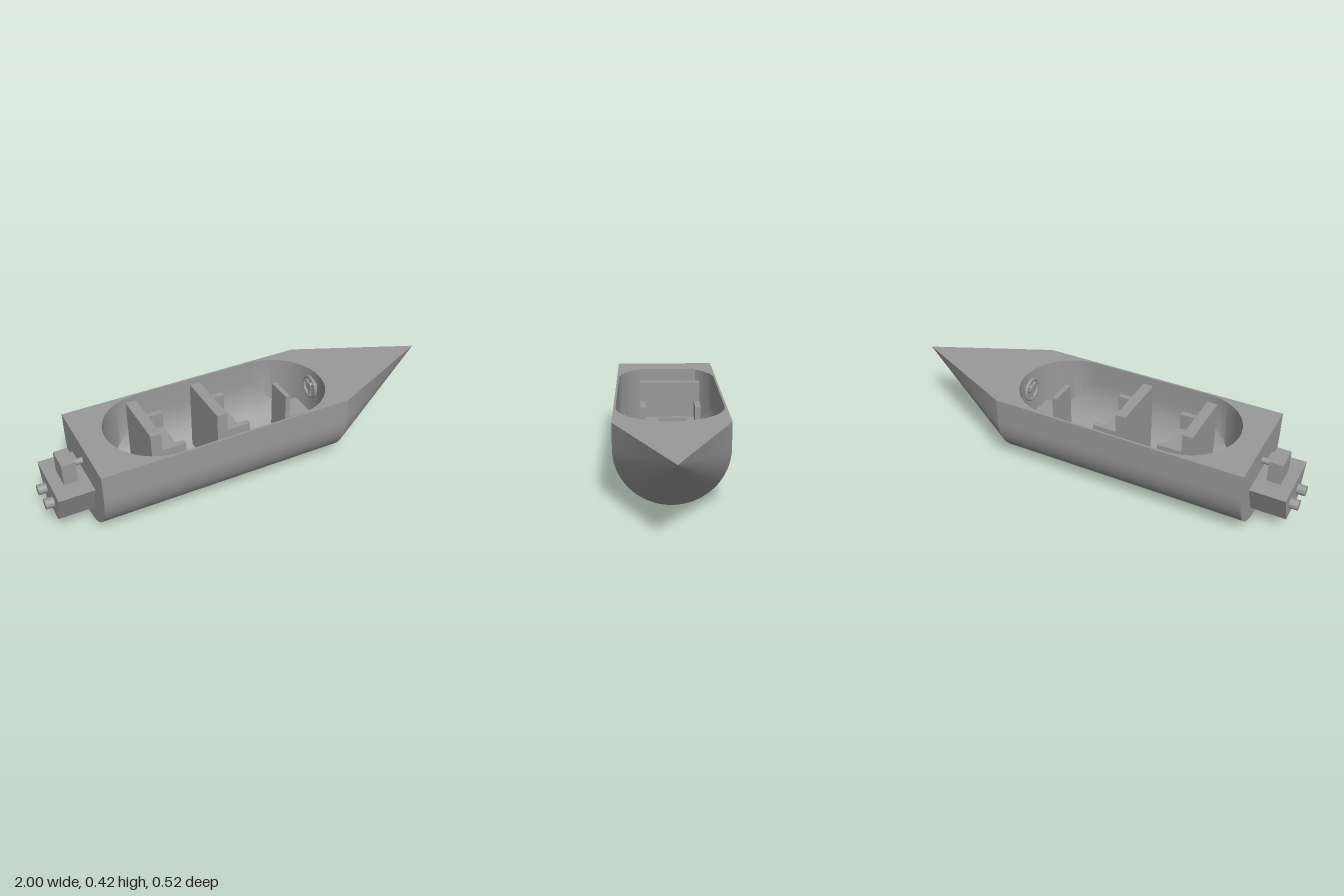
import * as THREE from 'three';
import { toCreasedNormals } from 'three/addons/utils/BufferGeometryUtils.js';

const DECK = 0.38, HALF = 0.26, STERN = -0.795, SHOULDER = 0.43;
const WELL = { aft: -0.68, fore: 0.42, r: 0.25 };

// Skin joining cross-sections ordered along +x; each runs from +z under to -z
function loft(sections, inward = false) {
  const n = sections[0].length, idx = [];
  for (let i = 0; i < sections.length - 1; i++) {
    for (let j = 0; j < n - 1; j++) {
      const a = i * n + j, b = a + n, c = b + 1, d = a + 1;
      if (inward) idx.push(a, b, d, d, b, c);
      else idx.push(a, d, b, d, c, b);
    }
  }
  const g = new THREE.BufferGeometry();
  g.setAttribute('position', new THREE.Float32BufferAttribute(sections.flat(2), 3));
  g.setIndex(idx);
  return toCreasedNormals(g, 0.6);
}

// U-shaped hull section
function hullSection(x) {
  const pts = [[x, DECK, HALF]];
  for (let i = 0; i <= 40; i++) {
    const a = Math.PI * i / 40;
    pts.push([x, HALF - HALF * Math.sin(a), HALF * Math.cos(a)]);
  }
  pts.push([x, DECK, -HALF]);
  return pts;
}

// Open well section: upright walls meeting a rounded floor
function wellSection(x) {
  const { aft, fore, r } = WELL;
  const d = Math.max(aft + r - x, x - (fore - r), 0);
  const w = Math.sqrt(Math.max(r * r - d * d, 0));
  const pts = [[x, DECK, w]];
  for (let i = 0; i <= 32; i++) {
    const z = w * Math.cos(Math.PI * i / 32);
    pts.push([x, 0.265 - Math.sqrt(Math.max(r * r - z * z, 0)), z]);
  }
  pts.push([x, DECK, -w]);
  return pts;
}

export function createModel() {
  const boat = new THREE.Group();
  boat.name = 'boat';
  const grey = new THREE.MeshStandardMaterial({ color: 0x999999, side: THREE.DoubleSide });
  grey.name = 'grey';

  const add = (parent, name, geo) => {
    const m = new THREE.Mesh(geo, grey);
    m.name = name;
    parent.add(m);
    return m;
  };
  const group = (name) => {
    const g = new THREE.Group();
    g.name = name;
    boat.add(g);
    return g;
  };
  // Box from its minimum and maximum on each axis
  const box = (parent, name, x0, x1, y0, y1, z0, z1) => {
    const m = add(parent, name, new THREE.BoxGeometry(x1 - x0, y1 - y0, z1 - z0));
    m.position.set((x0 + x1) / 2, (y0 + y1) / 2, (z0 + z1) / 2);
    return m;
  };
  // Cylinder lying along x
  const rod = (parent, name, x0, x1, y, z, r) => {
    const m = add(parent, name, new THREE.CylinderGeometry(r, r, x1 - x0, 24).rotateZ(Math.PI / 2));
    m.position.set((x0 + x1) / 2, y, z);
    return m;
  };

  // Hull, pointed bow and transom
  add(boat, 'hull', loft([hullSection(STERN), hullSection(SHOULDER)]));
  const shoulder = hullSection(SHOULDER);
  add(boat, 'bow', loft([shoulder, shoulder.map(() => [1, DECK, 0])]));
  const transom = new THREE.Shape(hullSection(0).map(([, y, z]) => new THREE.Vector2(z, y)));
  add(boat, 'transom', new THREE.ShapeGeometry(transom).rotateY(-Math.PI / 2)).position.x = STERN;

  // Deck with a long round-ended opening
  const deck = new THREE.Shape();
  deck.moveTo(STERN, -HALF);
  deck.lineTo(SHOULDER, -HALF);
  deck.lineTo(1, 0);
  deck.lineTo(SHOULDER, HALF);
  deck.lineTo(STERN, HALF);
  deck.closePath();
  const hole = new THREE.Path();
  hole.absarc(WELL.fore - WELL.r, 0, WELL.r, -Math.PI / 2, Math.PI / 2);
  hole.absarc(WELL.aft + WELL.r, 0, WELL.r, Math.PI / 2, Math.PI * 1.5);
  hole.closePath();
  deck.holes.push(hole);
  add(boat, 'deck', new THREE.ShapeGeometry(deck, 24).rotateX(-Math.PI / 2)).position.y = DECK;

  // Well stations are bunched toward the round ends
  const stations = [];
  for (let i = 0; i <= 24; i++) stations.push(WELL.aft + WELL.r * (1 - Math.cos(Math.PI / 2 * i / 24)));
  for (let i = 0; i <= 24; i++) stations.push(WELL.fore - WELL.r * (1 - Math.sin(Math.PI / 2 * i / 24)));
  add(boat, 'well', loft(stations.map(wellSection), true));

  // Two bench seats with backs and armrests
  for (const [name, x] of [['rearBench', -0.52], ['middleBench', -0.195]]) {
    const seat = group(name);
    box(seat, 'backrest', x, x + 0.05, 0.065, 0.418, -0.155, 0.137);
    box(seat, 'cushion', x + 0.05, x + 0.167, 0.065, 0.245, -0.155, 0.137);
    box(seat, 'rightArmrest', x + 0.05, x + 0.167, 0.245, 0.325, -0.155, -0.128);
    box(seat, 'leftArmrest', x + 0.05, x + 0.167, 0.245, 0.325, 0.11, 0.137);
    box(seat, 'pedestal', x, x + 0.167, 0.03, 0.065, -0.09, 0.09);
  }

  // Small helm seat
  const helm = group('helmSeat');
  box(helm, 'backrest', 0.21, 0.235, 0.03, 0.345, -0.075, 0.057);
  box(helm, 'cushion', 0.235, 0.35, 0.03, 0.22, -0.075, 0.057);

  // Steering wheel on the front wall of the well
  const wheel = group('steeringWheel');
  wheel.position.set(0.39, 0.31, -0.013);
  add(wheel, 'rim', new THREE.TorusGeometry(0.052, 0.008, 10, 36).rotateY(Math.PI / 2));
  for (let i = 0; i < 3; i++) {
    const spoke = add(wheel, 'spoke', new THREE.BoxGeometry(0.008, 0.052, 0.012).translate(0, 0.026, 0));
    spoke.rotation.x = Math.PI + i * Math.PI * 2 / 3;
  }
  rod(wheel, 'hub', -0.008, 0.035, 0, 0, 0.02);

  // Stern engine: housing narrows toward the bottom
  const engine = group('engine');
  const housing = new THREE.BoxGeometry(0.165, 0.155, 0.31);
  const p = housing.attributes.position;
  for (let i = 0; i < p.count; i++) if (p.getY(i) < 0) p.setZ(i, p.getZ(i) * 0.55);
  const flat = housing.toNonIndexed();
  flat.computeVertexNormals();
  add(engine, 'housing', flat).position.set(-0.8775, 0.158, -0.004);
  box(engine, 'engineTop', -0.905, -0.84, 0.235, 0.34, -0.06, 0.056);
  rod(engine, 'connector', -0.84, -0.79, 0.295, -0.003, 0.015);
  for (const z of [-0.062, 0.046]) rod(engine, 'exhaust', -1, -0.955, 0.157, z, 0.024);

  return boat;
}
